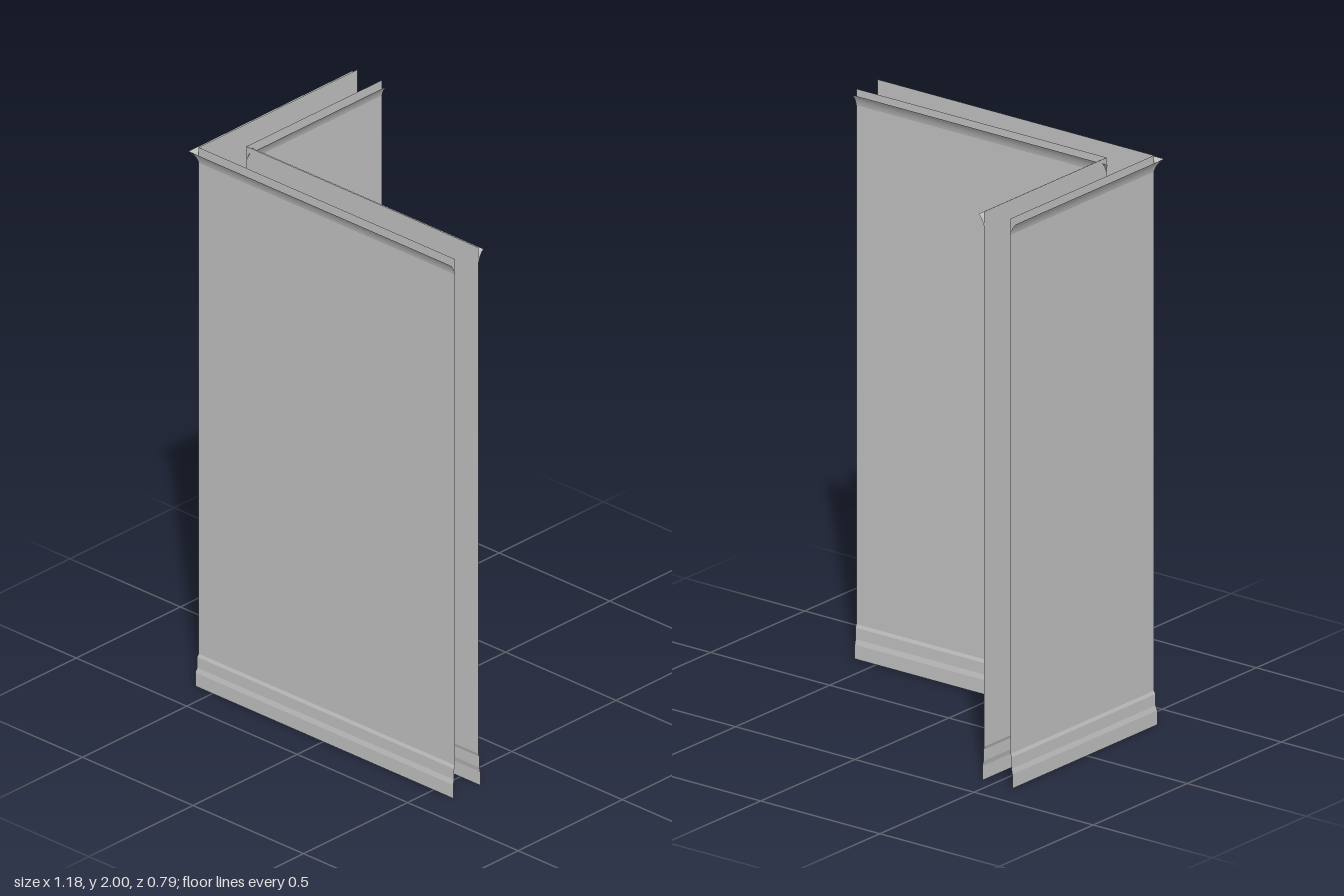
import * as THREE from 'three';

// Wall section: [distance out from the wall plane, height]
const body = [[0.008, 0], [0.008, 0.05], [0.004, 0.068], [0.004, 0.108], [0, 0.12], [0, 2]];
const cove = [];
for (let i = 0; i <= 6; i++) {
  const a = (i / 6) * Math.PI / 2;
  const k = i / 6;
  // hollow curve from the wall out to the tip
  cove.push([0.024 * (0.5 * k + 0.5 * (1 - Math.cos(a))), 1.943 + 0.043 * (0.5 * k + 0.5 * Math.sin(a))]);
}

// Sweep a section between two ends; place(end, d, y) returns the corner point.
function sweep(section, place) {
  const pos = [];
  for (let i = 0; i + 1 < section.length; i++) {
    const a = place(0, ...section[i]);
    const b = place(1, ...section[i]);
    const c = place(1, ...section[i + 1]);
    const d = place(0, ...section[i + 1]);
    pos.push(...a, ...b, ...c, ...a, ...c, ...d);
  }
  const g = new THREE.BufferGeometry();
  g.setAttribute('position', new THREE.Float32BufferAttribute(pos, 3));
  g.computeVertexNormals();
  return g;
}

export function createModel() {
  const model = new THREE.Group();
  model.name = 'wallCorner';
  const plaster = new THREE.MeshStandardMaterial({ color: 0xc0c0c0, side: THREE.DoubleSide });
  plaster.name = 'grey plaster';

  // Ends run left to right as seen from the moulded side of each skin.
  const walls = {
    outerFront: (e, d, y) => [e ? 0.59 : -0.57 - d, y, 0.368 + d],
    outerSide: (e, d, y) => [-0.57 - d, y, e ? 0.368 + d : -0.395],
    innerFront: (e, d, y) => [e ? -0.46 - d : 0.59, y, 0.255 - d],
    innerSide: (e, d, y) => [-0.46 + d, y, e ? -0.395 : 0.255 + 0.3 * d],
  };

  for (const [name, place] of Object.entries(walls)) {
    const wall = new THREE.Group();
    wall.name = name + 'Wall';
    const panel = new THREE.Mesh(sweep(body, place), plaster);
    panel.name = name + 'PanelAndSkirting';
    const crown = new THREE.Mesh(sweep(cove, place), plaster);
    crown.name = name + 'Crown';
    wall.add(panel, crown);
    model.add(wall);
  }
  return model;
}
